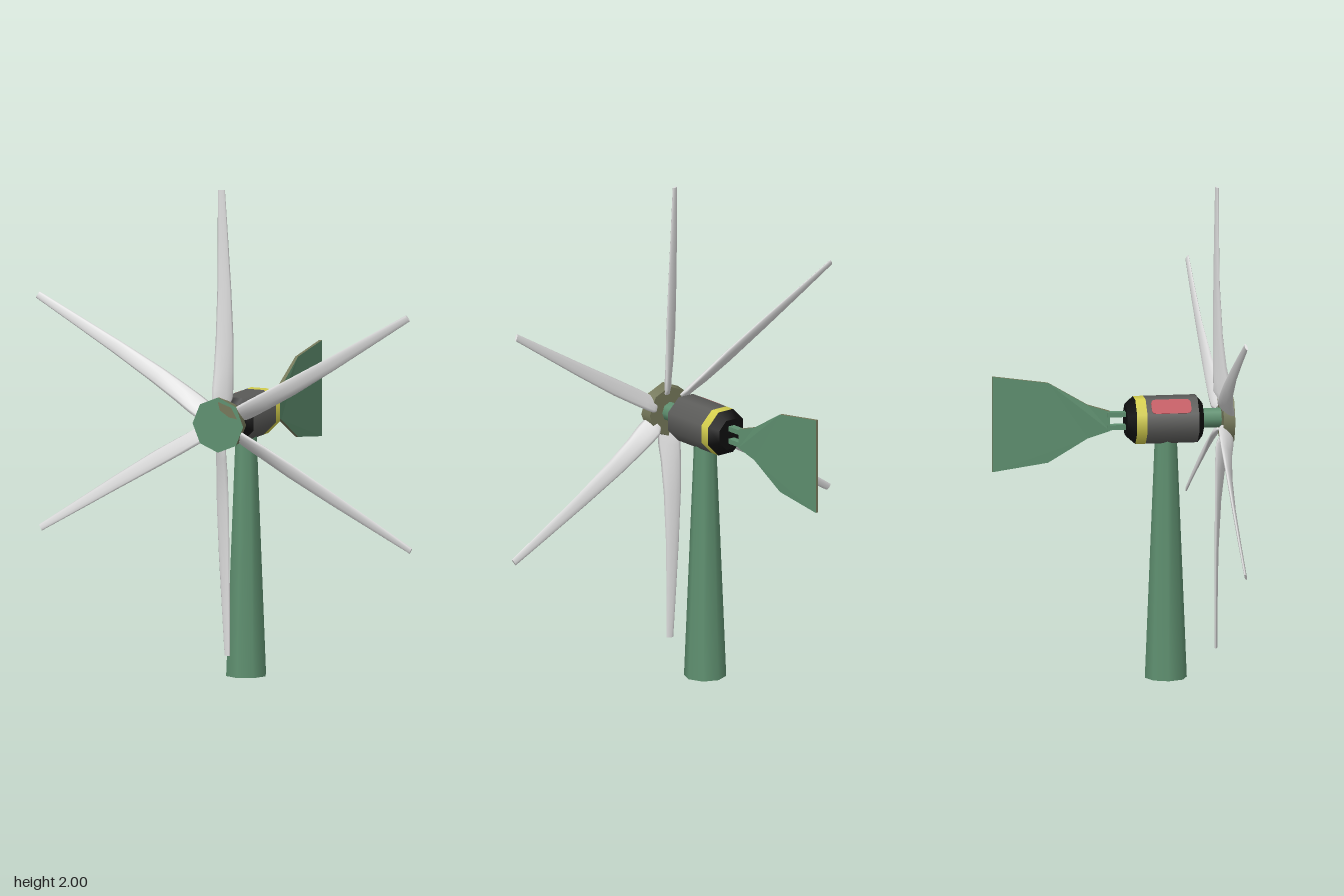
import * as THREE from 'three';

const mat = (name, color, side = THREE.FrontSide) => {
  const m = new THREE.MeshStandardMaterial({ color, side });
  m.name = name;
  return m;
};

export function createModel() {
  const green = mat('paintedGreen', 0x5f9070);
  const rust = mat('rustyOlive', 0x75785a);
  const grey = mat('darkGrey', 0x5c5c5a);
  const black = mat('black', 0x0e0e0e);
  const yellow = mat('yellow', 0xd6d04e);
  const red = mat('red', 0xbe525a);
  const white = mat('offWhite', 0xdedede);

  const group = new THREE.Group();
  const AXIS = 1.056; // height of the rotor axis
  const add = (name, geo, material, parent = group) => {
    const mesh = new THREE.Mesh(geo, material);
    mesh.name = name;
    parent.add(mesh);
    return mesh;
  };

  // Eight-sided drum along z, from zBack to zFront
  const drum = (name, zBack, zFront, rBack, rFront, material, turn = 0) => {
    const geo = new THREE.CylinderGeometry(rFront, rBack, zFront - zBack, 8);
    geo.rotateY(turn).rotateX(Math.PI / 2);
    geo.translate(0, AXIS, (zBack + zFront) / 2);
    return add(name, geo, material);
  };

  // Tower
  const tower = new THREE.CylinderGeometry(0.044, 0.085, 1.0, 8);
  add('tower', tower.translate(0, 0.5, 0.217), green);

  // Generator housing
  const flat = Math.PI / 8, R = 0.098;
  drum('housingRearCap', 0.053, 0.088, 0.066, R, black, flat);
  drum('housingBand', 0.088, 0.13, R, R, yellow, flat);
  drum('housingBody', 0.13, 0.34, R, R, grey, flat);
  drum('housingFrontCap', 0.34, 0.362, R, 0.07, black, flat);

  // Rounded panel on the upper right facet of the housing
  const w = 0.034, l = 0.08, c = 0.02;
  const panel = new THREE.Shape();
  panel.moveTo(-w + c, -l).lineTo(w - c, -l).quadraticCurveTo(w, -l, w, -l + c);
  panel.lineTo(w, l - c).quadraticCurveTo(w, l, w - c, l);
  panel.lineTo(-w + c, l).quadraticCurveTo(-w, l, -w, l - c);
  panel.lineTo(-w, -l + c).quadraticCurveTo(-w, -l, -w + c, -l);
  const panelGeo = new THREE.ExtrudeGeometry(panel, { depth: 0.003, bevelEnabled: false, curveSegments: 4 });
  panelGeo.rotateX(-Math.PI / 2).translate(0, R * Math.cos(flat) - 0.001, 0);
  panelGeo.rotateZ(Math.PI / 4).translate(0, AXIS, 0.23);
  add('housingPanel', panelGeo, red);

  // Shaft and hub
  drum('shaft', 0.355, 0.445, 0.04, 0.04, green);
  drum('hub', 0.438, 0.483, 0.104, 0.112, [rust, green, rust]);

  // Worn patch on the hub face
  const worn = new THREE.Shape([[0, 0.095], [0.06, 0.075], [0.085, 0.03], [0.05, 0.035], [0.01, 0.06]]
    .map(([x, y]) => new THREE.Vector2(x, y)));
  add('hubWornPatch', new THREE.ShapeGeometry(worn).translate(0, AXIS, 0.4845), rust);

  // Blades: sections of [radius, left x, right x, back z, front z, half thickness]
  const sections = [
    [0.075, -0.026, 0.026, 0.43, 0.478, 0.012],
    [0.1, -0.029, 0.034, 0.416, 0.479, 0.013],
    [0.14, -0.03, 0.036, 0.414, 0.475, 0.013],
    [0.21, -0.03, 0.037, 0.413, 0.459, 0.012],
    [0.34, -0.029, 0.037, 0.414, 0.442, 0.01],
    [0.55, -0.027, 0.027, 0.415, 0.43, 0.007],
    [0.75, -0.027, 0.014, 0.416, 0.427, 0.006],
    [0.945, -0.027, 0.001, 0.418, 0.426, 0.005],
  ];
  const N = 10, pos = [], idx = [];
  const ring = ([r, xl, xr, zb, zf, t]) => {
    const ux = (xr - xl) / 2, uz = (zb - zf) / 2, len = Math.hypot(ux, uz);
    for (let j = 0; j < N; j++) {
      const a = (j / N) * Math.PI * 2, cs = Math.cos(a), sn = Math.sin(a) * t / len;
      pos.push((xl + xr) / 2 + ux * cs - uz * sn, r, (zb + zf) / 2 + uz * cs + ux * sn);
    }
  };
  sections.forEach(ring);
  for (let i = 0; i < sections.length - 1; i++) {
    for (let j = 0; j < N; j++) {
      const a = i * N + j, b = i * N + (j + 1) % N;
      idx.push(a, a + N, b, b, a + N, b + N);
    }
  }
  // Flat blade ends
  [sections[0], sections[sections.length - 1]].forEach((s, end) => {
    const start = pos.length / 3;
    ring(s);
    for (let j = 1; j < N - 1; j++) {
      idx.push(start, start + (end ? j + 1 : j), start + (end ? j : j + 1));
    }
  });
  const bladeGeo = new THREE.BufferGeometry();
  bladeGeo.setAttribute('position', new THREE.Float32BufferAttribute(pos, 3));
  bladeGeo.setIndex(idx);
  bladeGeo.computeVertexNormals();
  const rotor = new THREE.Group();
  rotor.name = 'rotorBlades';
  rotor.position.y = AXIS;
  group.add(rotor);
  for (let i = 0; i < 6; i++) {
    add('blade' + (i + 1), bladeGeo, white, rotor).rotation.z = -i * Math.PI / 3;
  }

  // Twin tail rods
  for (const s of [-1, 1]) {
    const rod = new THREE.BoxGeometry(0.03, 0.02, 0.09);
    add(s > 0 ? 'upperTailRod' : 'lowerTailRod', rod.translate(0, AXIS + s * 0.026, 0.025), green);
  }

  // Tail vane, thicker where it meets the rods
  const half = [[0.01, 0.039], [0.1, 0.068], [0.26, 0.163], [0.485, 0.195]];
  const outline = [...half.map(([u, v]) => [u, -v]), ...half.slice().reverse()];
  const vaneShape = new THREE.Shape(outline.map(([u, v]) => new THREE.Vector2(u, v)));
  const vane = new THREE.ExtrudeGeometry(vaneShape, { depth: 2, bevelEnabled: false });
  const p = vane.attributes.position;
  for (let i = 0; i < p.count; i++) {
    const u = p.getX(i);
    const thick = u < 0.05 ? 0.015 : u < 0.2 ? 0.008 : 0.006;
    p.setZ(i, (p.getZ(i) - 1) * thick);
  }
  vane.rotateY(Math.PI / 2).translate(0, AXIS, 0);
  vane.computeVertexNormals();
  add('tailVane', vane, [green, rust]);

  return group;
}
